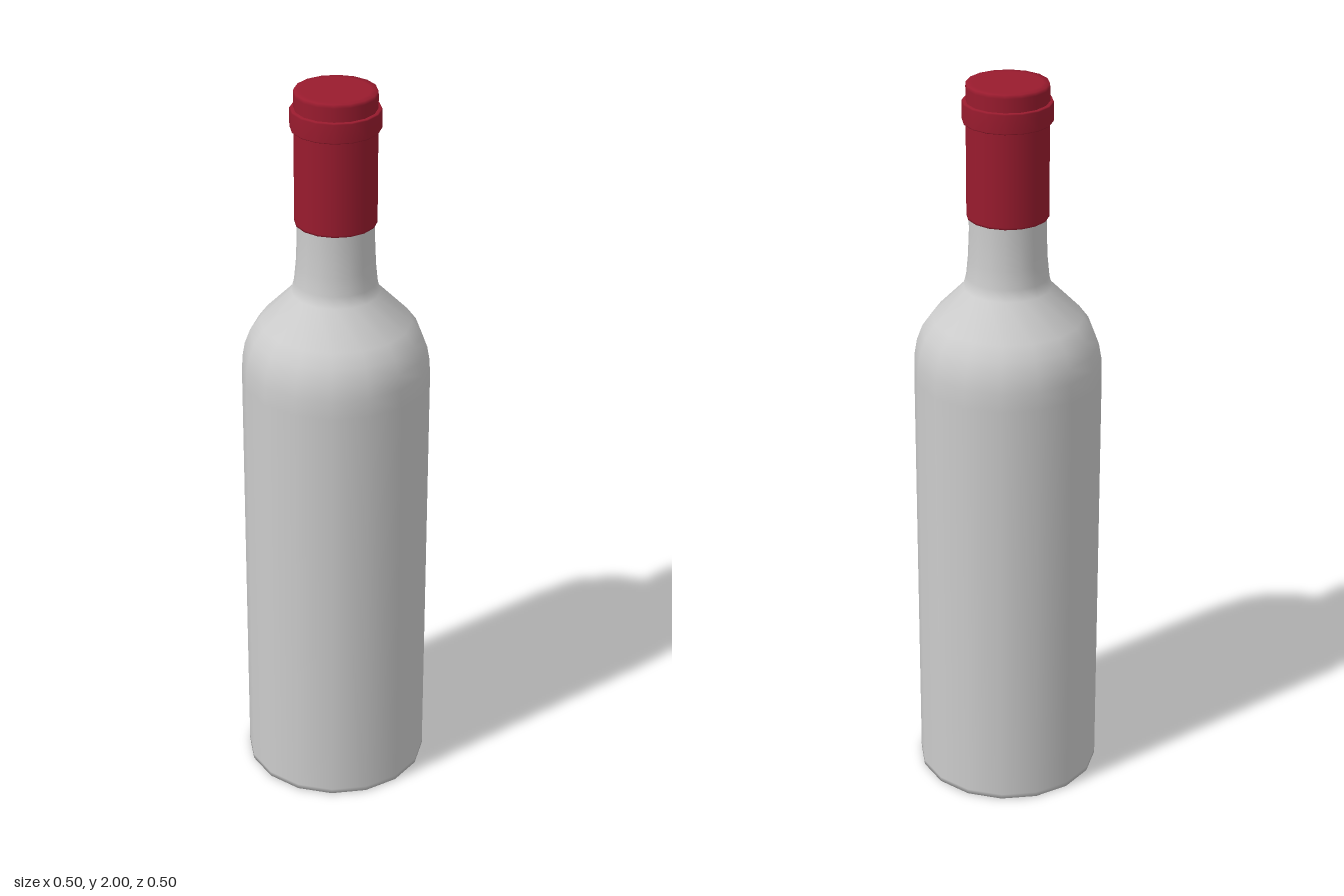
import * as THREE from 'three';

const SIDES = 16;

// Turned part from [radius, height] pairs, listed from bottom to top
function turned(name, profile, color) {
  const points = profile.map(([r, y]) => new THREE.Vector2(r, y));
  const mesh = new THREE.Mesh(
    new THREE.LatheGeometry(points, SIDES),
    new THREE.MeshStandardMaterial({ color })
  );
  mesh.name = name;
  return mesh;
}

export function createModel() {
  const bottle = new THREE.Group();
  bottle.name = 'bottle';

  // Glass: flat base, straight body, rounded shoulder, narrow neck
  bottle.add(turned('glassBody', [
    [0, 0], [0.21, 0], [0.25, 0.002], [0.25, 0.015],
    [0.25, 1.2], [0.248, 1.25], [0.241, 1.29], [0.226, 1.33], [0.2, 1.365],
    [0.117, 1.45], [0.109, 1.48], [0.104, 1.53], [0.101, 1.6], [0.101, 1.66],
  ], 0xcccccc));

  // Foil sleeve over the neck, closed at the top
  bottle.add(turned('foilCap', [
    [0.1, 1.645], [0.107, 1.645], [0.107, 1.65],
    [0.107, 1.99], [0.106, 2], [0.09, 2], [0, 2],
  ], 0x991b2e));

  // Raised lip ring around the foil
  bottle.add(turned('lipRing', [
    [0.105, 1.9], [0.115, 1.9], [0.117, 1.903],
    [0.117, 1.951], [0.115, 1.954], [0.105, 1.954],
  ], 0x991b2e));

  return bottle;
}
